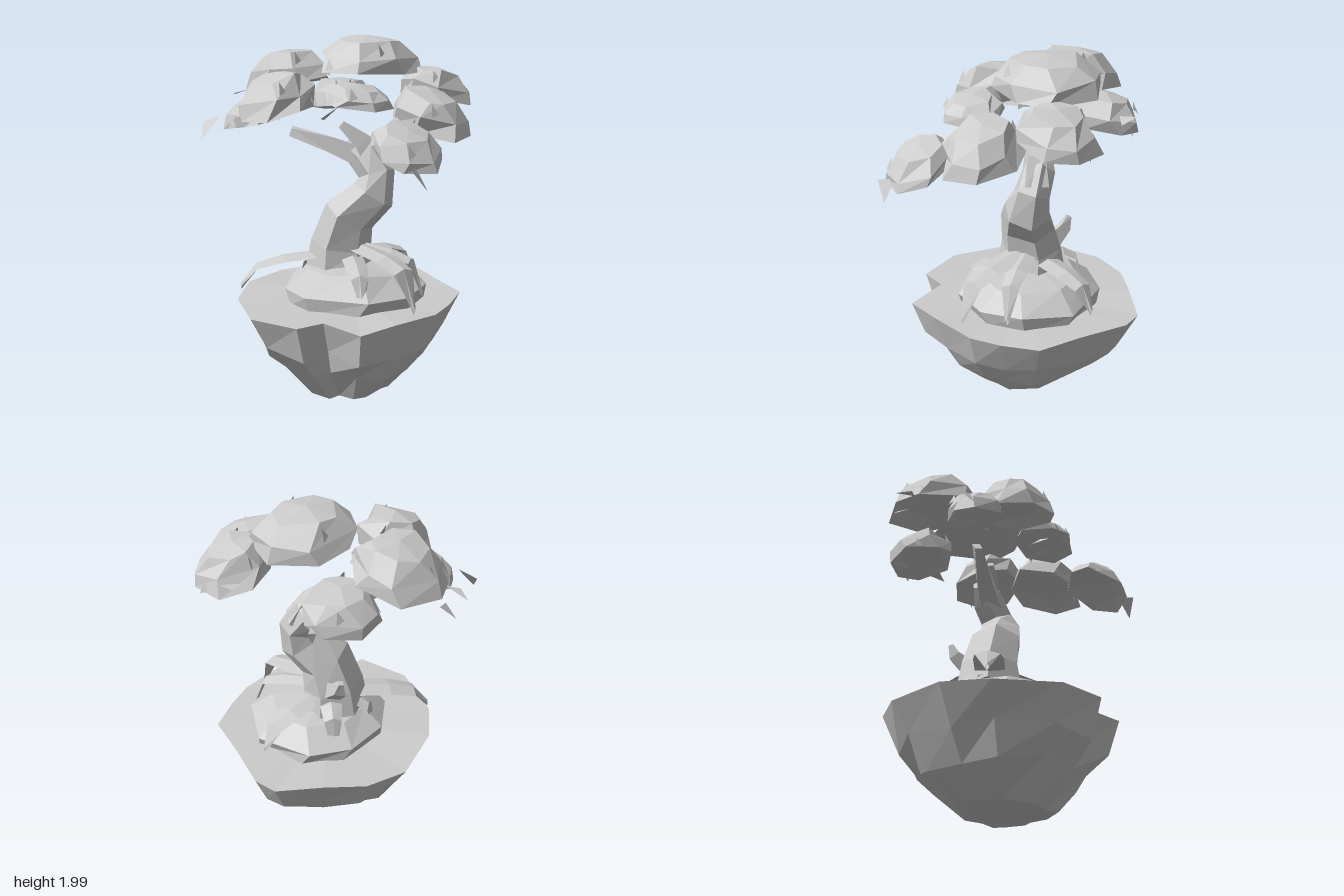
import * as THREE from 'three';

const stone = new THREE.MeshStandardMaterial({ color: 0xcccccc, side: THREE.DoubleSide });
stone.name = 'plain grey';

// Small seeded random generator
function seeded(seed) {
  let s = seed * 7919 + 17;
  return () => ((s = (s * 16807) % 2147483647) / 2147483647);
}

// Faceted skin through rings of points (bottom to top), closed by a fan at each end
function loft(rings, bottom, top) {
  const out = [];
  const tri = (a, b, c) => { for (const p of [a, b, c]) out.push(p.x, p.y, p.z); };
  const n = rings[0].length, last = rings[rings.length - 1];
  for (let i = 0; i < n; i++) {
    const j = (i + 1) % n;
    for (let k = 0; k < rings.length - 1; k++) {
      const lo = rings[k], hi = rings[k + 1];
      tri(lo[i], hi[i], lo[j]);
      tri(lo[j], hi[i], hi[j]);
    }
    if (bottom) tri(bottom, rings[0][i], rings[0][j]);
    if (top) tri(top, last[j], last[i]);
  }
  const geo = new THREE.BufferGeometry();
  geo.setAttribute('position', new THREE.Float32BufferAttribute(out, 3));
  geo.computeVertexNormals();
  return geo;
}

const V = (x, y, z) => new THREE.Vector3(x, y, z);

// Tapered limb along [x, y, z, width, depth] stations
function limb(stations, sides, turn = 0) {
  const pts = stations.map(s => V(s[0], s[1], s[2]));
  const up = V(0, 1, 0);
  const rings = stations.map((s, k) => {
    const dir = pts[Math.min(k + 1, pts.length - 1)].clone().sub(pts[Math.max(k - 1, 0)]).normalize();
    const q = new THREE.Quaternion().setFromUnitVectors(up, dir);
    return Array.from({ length: sides }, (_, i) => {
      const a = turn + (i / sides) * Math.PI * 2;
      return V(Math.cos(a) * s[3], 0, Math.sin(a) * s[4]).applyQuaternion(q).add(pts[k]);
    });
  });
  return loft(rings, pts[0], pts[pts.length - 1]);
}

// Flat root: level strip from the trunk, then a blade dropping to a point at [x, low, z]
function root(x, z, low, high, wide) {
  const len = Math.hypot(x, z), sx = -z / len, sz = x / len;
  const rings = [[.1, high, wide], [.6, high - .03, wide], [.85, high - .07, wide * .8], [1, low, .012]]
    .map(([t, y, w]) => [[1, 0], [0, .02], [-1, 0], [0, -.02]].map(([side, lift]) =>
      V(x * t + sx * w * side, y + lift, z * t + sz * w * side)));
  return loft(rings, null, null);
}

// Irregular leaf dome with a shallow hollow underside, sloping outwards from the crown
function dome([cx, y0, cz, rx, h, rz, slopeX, slopeZ], seed) {
  const rnd = seeded(seed), n = 7, turn = rnd() * 6;
  const at = (a, r, y) => {
    const x = Math.cos(a) * r * rx, z = Math.sin(a) * r * rz;
    return V(cx + x, y0 + y * h + slopeX * x + slopeZ * z, cz + z);
  };
  const levels = [[0.6, 0.24], [1.03, 0.04], [0.95, 0.45], [0.63, 0.88]];
  const rings = levels.map(([r, y]) => Array.from({ length: n }, (_, i) =>
    at(turn + ((i + (rnd() - 0.5) * 0.5) / n) * Math.PI * 2, r * (0.93 + rnd() * 0.14), y + (rnd() - 0.5) * 0.14)));
  return loft(rings, at(0, 0, 0.3), at(0, 0, 1));
}

// Single loose triangle leaf
function leaf(a, b, c) {
  const geo = new THREE.BufferGeometry();
  geo.setAttribute('position', new THREE.Float32BufferAttribute([...a, ...b, ...c], 3));
  geo.computeVertexNormals();
  return geo;
}

export function createModel() {
  const model = new THREE.Group();
  const add = (name, geo, parent = model) => {
    const mesh = new THREE.Mesh(geo, stone);
    mesh.name = name;
    parent.add(mesh);
  };
  const group = name => {
    const g = new THREE.Group();
    g.name = name;
    model.add(g);
    return g;
  };

  // Rocky bowl: an uneven rim shrinking to a blunt point
  const rim = [[.59, 0], [.54, .28], [.47, .49], [.22, .48], [.17, .63], [-.13, .65], [-.42, .45], [-.55, .22],
    [-.59, -.1], [-.48, -.32], [-.3, -.47], [-.1, -.63], [.03, -.63], [.28, -.49], [.5, -.38], [.56, -.18]];
  const rnd = seeded(5);
  const rockRings = [[.4, .08], [.7, .24], [.86, .38], [1, .57]].map(([s, y], k) => rim.map(([x, z]) => {
    const w = k > 2 ? s : s * (0.96 + rnd() * 0.08), jitter = k > 2 ? 0.02 : 0.05;
    return V(x * w + (1 - s) * .07, y + (rnd() - 0.5) * jitter, z * w + (1 - s) * .08);
  }));
  add('rockBase', loft(rockRings, V(.05, 0, .05), V(0, .57, 0)));

  // Earth mound on top of the rock
  const moundRings = [[.97, .55], [1.02, .64], [.7, .74]].map(([s, y]) => Array.from({ length: 9 }, (_, i) => {
    const a = ((i + rnd() * 0.4) / 9) * Math.PI * 2;
    return V(.05 + Math.cos(a) * s * .38, y + (rnd() - 0.5) * 0.03, -.01 + Math.sin(a) * s * .4);
  }));
  add('mound', loft(moundRings, null, V(.02, .78, 0)));

  // Leaning trunk, its stub and the two bare forks
  add('trunk', limb([[-.03, .74, .02, .19, .2], [-.03, .86, .02, .16, .18], [.02, 1.02, .01, .14, .16],
    [.13, 1.14, -.06, .12, .13], [.13, 1.25, -.09, .1, .1], [.05, 1.35, -.08, .1, .09], [-.03, 1.42, -.04, .06, .06]], 6, .3));
  add('stub', limb([[-.08, .88, -.08, .07, .06], [-.16, .95, -.12, .05, .04], [-.18, 1.01, -.13, .02, .02]], 4));
  add('leftFork', limb([[.08, 1.32, -.08, .08, .08], [-.08, 1.4, .03, .06, .06], [-.26, 1.48, .17, .02, .04]], 4));
  add('upperFork', limb([[.12, 1.28, -.1, .09, .09], [.06, 1.42, -.06, .06, .07], [-.03, 1.52, .02, .03, .03]], 4));

  // Spreading roots: x, z and height of the tip, height at the trunk, half width
  const roots = group('roots');
  for (const r of [[.52, .1, .6, .86, .08], [.42, -.12, .62, .86, .06], [.3, .26, .63, .82, .06],
    [-.42, .42, .63, .81, .08], [-.27, .1, .59, .81, .06], [-.2, -.22, .6, .85, .06], [.1, -.45, .63, .82, .07]]) {
    add('root', root(...r), roots);
  }

  // Leaf clusters: centre x, rim y, centre z, half width, height, half depth, slope in x and z
  const foliage = group('foliage');
  const clusters = [
    [.04, 1.8, -.12, .26, .19, .3, -.05, 0],
    [-.43, 1.7, -.01, .235, .2, .235, .2, 0],
    [-.17, 1.61, .38, .2, .21, .2, .1, -.15],
    [-.41, 1.52, .31, .15, .15, .15, .1, -.1],
    [.59, 1.46, .28, .17, .13, .19, -.45, -.1],
    [.5, 1.55, -.04, .21, .19, .2, -.3, 0],
    [.32, 1.64, -.36, .19, .18, .21, -.1, .2],
    [-.28, 1.55, -.29, .19, .18, .19, .1, .15],
    [.23, 1.67, .21, .17, .1, .17, -.15, 0],
  ];
  clusters.forEach((c, i) => {
    add('leafCluster', dome(c, i + 3), foliage);
    // A few pointed leaves poking out of each cluster
    const r = seeded(i + 40);
    for (let k = 0; k < 4; k++) {
      const a = k * 1.6 + r() * 1.2, d = k % 2 ? .9 : .75;
      const dx = Math.cos(a) * c[3] * d, dz = Math.sin(a) * c[5] * d;
      const x = c[0] + dx, z = c[2] + dz, y = c[1] + c[4] * (k % 2 ? .25 : .7) + c[6] * dx + c[7] * dz;
      add('pointedLeaf', leaf([x, y + .03, z], [x + .035 * Math.sin(a), y - .02, z - .035 * Math.cos(a)],
        [x + .03 * Math.cos(a), y - .035, z + .03 * Math.sin(a)]), foliage);
    }
  });

  // Loose leaves around the crown
  const loose = group('looseLeaves');
  add('looseLeaf', leaf([-.77, 1.63, .09], [-.64, 1.67, .09], [-.7, 1.65, .14]), loose);
  add('looseLeaf', leaf([-.74, 1.54, .04], [-.67, 1.61, -.01], [-.66, 1.59, .07]), loose);
  add('looseLeaf', leaf([-.64, 1.53, .45], [-.54, 1.57, .42], [-.59, 1.44, .52]), loose);
  add('looseLeaf', leaf([.69, 1.43, .36], [.77, 1.32, .37], [.73, 1.42, .44]), loose);
  add('looseLeaf', leaf([.08, 1.77, -.66], [.18, 1.75, -.63], [.09, 1.76, -.57]), loose);
  add('looseLeaf', leaf([.06, 1.58, .27], [.15, 1.66, .25], [.11, 1.6, .36]), loose);
  return model;
}
